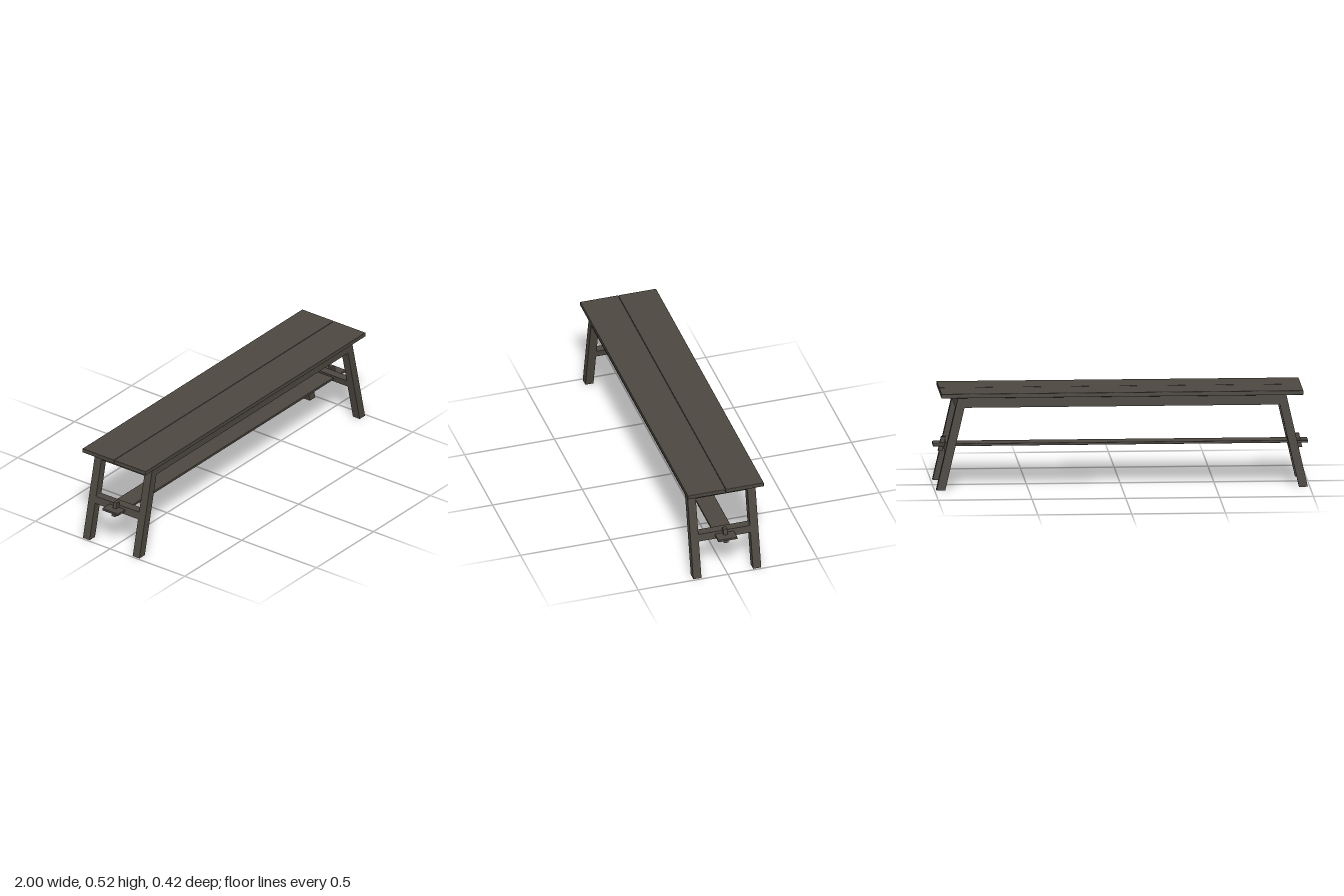
import * as THREE from 'three';
import { RoundedBoxGeometry } from 'three/addons/geometries/RoundedBoxGeometry.js';

const SLANT = 0.23;      // outward lean of the legs per unit of height
const SEAT_Y = 0.5;      // underside of the seat
const INNER_X = 0.828;   // inner face of the legs at seat height
const LEG = 0.047;       // leg thickness along x
const OUT_Z = 0.189, IN_Z = 0.144, R = 0.005;

// Lean a geometry outward the lower it goes
function lean(geometry, pivotY = SEAT_Y) {
  const p = geometry.attributes.position;
  for (let i = 0; i < p.count; i++) p.setX(i, p.getX(i) + (pivotY - p.getY(i)) * SLANT);
  geometry.computeVertexNormals();
  return geometry;
}

// End frame outline: two legs, top rail and cross rail in one piece
function endFrameShape() {
  const s = new THREE.Shape();
  s.moveTo(-OUT_Z, 0);
  s.lineTo(-IN_Z, 0);
  s.lineTo(-IN_Z, 0.203 - R);
  s.quadraticCurveTo(-IN_Z, 0.203, -IN_Z + R, 0.203);
  s.lineTo(IN_Z - R, 0.203);
  s.quadraticCurveTo(IN_Z, 0.203, IN_Z, 0.203 - R);
  s.lineTo(IN_Z, 0);
  s.lineTo(OUT_Z, 0);
  s.lineTo(OUT_Z, SEAT_Y);
  s.lineTo(-OUT_Z, SEAT_Y);
  s.closePath();

  // Opening between the rails with softened corners
  const y0 = 0.242, y1 = 0.443, h = new THREE.Path();
  h.moveTo(-IN_Z + R, y0);
  h.lineTo(IN_Z - R, y0);
  h.quadraticCurveTo(IN_Z, y0, IN_Z, y0 + R);
  h.lineTo(IN_Z, y1 - R);
  h.quadraticCurveTo(IN_Z, y1, IN_Z - R, y1);
  h.lineTo(-IN_Z + R, y1);
  h.quadraticCurveTo(-IN_Z, y1, -IN_Z, y1 - R);
  h.lineTo(-IN_Z, y0 + R);
  h.quadraticCurveTo(-IN_Z, y0, -IN_Z + R, y0);
  s.holes.push(h);
  return s;
}

export function createModel() {
  const bench = new THREE.Group();
  bench.name = 'bench';
  const wood = new THREE.MeshStandardMaterial({ color: 0x4c4740 });
  wood.name = 'dark wood';

  const add = (parent, name, geometry, x = 0, y = 0, z = 0) => {
    const mesh = new THREE.Mesh(geometry, wood);
    mesh.name = name;
    mesh.position.set(x, y, z);
    parent.add(mesh);
    return mesh;
  };

  // Two seat planks with a narrow gap
  for (const side of [1, -1]) {
    add(bench, side > 0 ? 'frontPlank' : 'backPlank',
      new RoundedBoxGeometry(1.93, 0.023, 0.2105, 2, 0.002), 0, SEAT_Y + 0.0115, side * 0.1062);
  }

  // Long aprons, mitred to meet the leaning legs
  const drop = 0.055;
  const low = INNER_X + drop * SLANT;
  const apron = new THREE.Shape([
    new THREE.Vector2(-low, SEAT_Y - drop), new THREE.Vector2(low, SEAT_Y - drop),
    new THREE.Vector2(INNER_X, SEAT_Y), new THREE.Vector2(-INNER_X, SEAT_Y),
  ]);
  for (const side of [1, -1]) {
    const geometry = new THREE.ExtrudeGeometry(apron, { depth: OUT_Z - IN_Z, bevelEnabled: false });
    add(bench, side > 0 ? 'frontApron' : 'backApron', geometry, 0, 0, side > 0 ? IN_Z : -OUT_Z);
  }

  // Matching ends: leaning frame and locking wedge
  for (const side of [1, -1]) {
    const end = new THREE.Group();
    end.name = side > 0 ? 'leftEnd' : 'rightEnd';
    end.rotation.y = side > 0 ? 0 : Math.PI;
    bench.add(end);

    const frame = new THREE.ExtrudeGeometry(endFrameShape(), { depth: LEG, bevelEnabled: false, curveSegments: 4 });
    frame.rotateY(Math.PI / 2);
    frame.translate(INNER_X, 0, 0);
    add(end, 'legFrame', lean(frame));

    const wedgeY = 0.222;
    const outerX = INNER_X + LEG + (SEAT_Y - wedgeY) * SLANT;
    const wedge = new THREE.BoxGeometry(0.024, 0.077, 0.023);
    add(end, 'wedge', lean(wedge, 0), outerX + 0.012, wedgeY, 0);
  }

  // Flat stretcher passing through both cross rails
  add(bench, 'stretcher', new RoundedBoxGeometry(2, 0.013, 0.106, 2, 0.002), 0, 0.222, 0);

  return bench;
}
